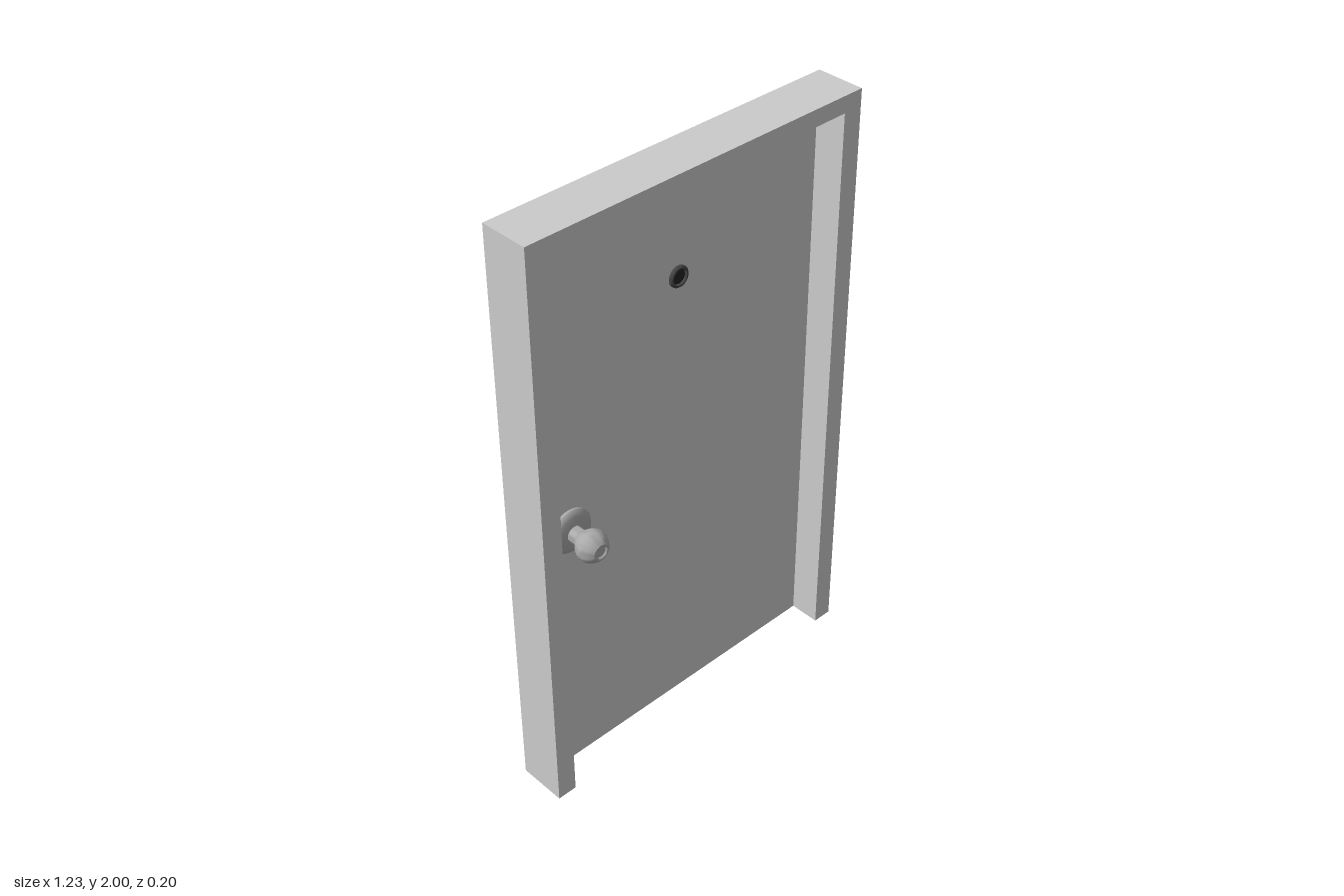
import * as THREE from 'three';
import { toCreasedNormals } from 'three/addons/utils/BufferGeometryUtils.js';

const BACK = -0.1, FRONT = 0.063, FACE = -0.042; // z of wall back, frame front, door face
const HALF_W = 0.617, HALF_OPEN = 0.55, HEIGHT = 2, OPEN_H = 1.945;

const grey = new THREE.MeshStandardMaterial({ color: 0xcccccc });
const metal = new THREE.MeshStandardMaterial({ color: 0xaaaaaa });
const dark = new THREE.MeshStandardMaterial({ color: 0x444444 });
const black = new THREE.MeshStandardMaterial({ color: 0x222222 });

function addMesh(parent, name, geometry, material, x = 0, y = 0, z = 0) {
  const mesh = new THREE.Mesh(geometry, material);
  mesh.name = name;
  mesh.position.set(x, y, z);
  parent.add(mesh);
  return mesh;
}

// Turned part whose axis points out of the door; profile is [radius, distance]
function turned(profile, segments = 32) {
  const points = profile.map(([r, d]) => new THREE.Vector2(r, d));
  const geometry = new THREE.LatheGeometry(points, segments).rotateX(Math.PI / 2);
  return toCreasedNormals(geometry, 0.6);
}

export function createModel() {
  const door = new THREE.Group();
  door.name = 'door';

  // Frame: two jambs and a head in one piece, open at the floor
  const outline = new THREE.Shape([
    [-HALF_W, 0], [-HALF_OPEN, 0], [-HALF_OPEN, OPEN_H], [HALF_OPEN, OPEN_H],
    [HALF_OPEN, 0], [HALF_W, 0], [HALF_W, HEIGHT], [-HALF_W, HEIGHT],
  ].map(([x, y]) => new THREE.Vector2(x, y)));
  const frame = new THREE.ExtrudeGeometry(outline, { depth: FRONT - BACK, bevelEnabled: false });
  addMesh(door, 'frame', frame, grey, 0, 0, BACK);

  // Door leaf, flush with the back of the frame
  const leaf = new THREE.BoxGeometry(HALF_OPEN * 2, OPEN_H, FACE - BACK);
  addMesh(door, 'leaf', leaf, grey, 0, OPEN_H / 2, (FACE + BACK) / 2);

  // Door knob: rosette, neck and rounded grip with a dished centre
  const knob = new THREE.Group();
  knob.name = 'knob';
  knob.position.set(-0.435, 0.925, FACE);
  door.add(knob);
  addMesh(knob, 'rosette', turned([
    [0.075, 0], [0.075, 0.008], [0.07, 0.014], [0.056, 0.019], [0.03, 0.022], [0, 0.022],
  ]), metal);
  addMesh(knob, 'grip', turned([
    [0.026, 0.02], [0.026, 0.05], [0.034, 0.06], [0.044, 0.072], [0.051, 0.086],
    [0.053, 0.098], [0.05, 0.11], [0.044, 0.122], [0.036, 0.132], [0.027, 0.139],
    [0.022, 0.139], [0.018, 0.134], [0, 0.132],
  ]), metal);

  // Peephole: dark ring around a recessed lens
  const peephole = new THREE.Group();
  peephole.name = 'peephole';
  peephole.position.set(0, 1.6, FACE);
  door.add(peephole);
  addMesh(peephole, 'ring', turned([
    [0.035, 0], [0.035, 0.006], [0.031, 0.011], [0.026, 0.011], [0.023, 0.004],
  ]), dark);
  addMesh(peephole, 'lens', turned([[0.024, 0.004], [0.014, 0.006], [0, 0.007]]), black);

  return door;
}
